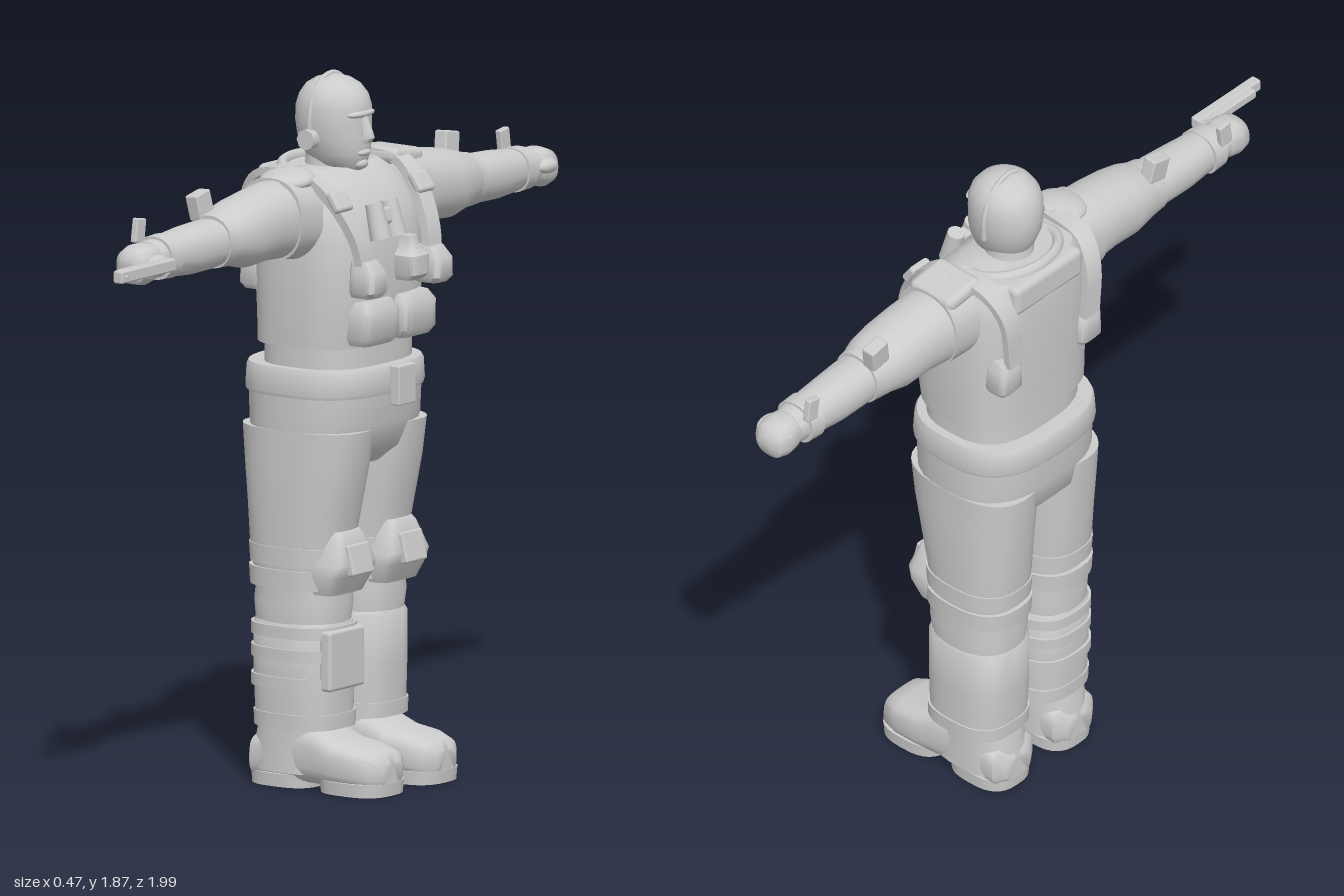
import * as THREE from 'three';
import { toCreasedNormals } from 'three/addons/utils/BufferGeometryUtils.js';
import { RoundedBoxGeometry } from 'three/addons/geometries/RoundedBoxGeometry.js';

export function createModel() {
  const grey = new THREE.MeshStandardMaterial({ color: 0xcccccc });
  grey.name = 'light grey';
  const model = new THREE.Group();
  model.name = 'soldier';
  // The figure looks along +x with its arms along z; it is mirrored about the body's own z = 0
  const body = new THREE.Group();
  body.name = 'body';
  body.position.z = -0.083;
  model.add(body);

  const add = (name, geo) => {
    const mesh = new THREE.Mesh(geo, grey);
    mesh.name = name;
    body.add(mesh);
    return mesh;
  };

  // Closed skin over a list of rings with equal point counts
  function skin(name, rings, crease = 0.75) {
    const n = rings[0].length, pos = [], idx = [];
    rings.forEach(r => r.forEach(p => pos.push(...p)));
    for (let j = 0; j < rings.length - 1; j++) {
      for (let i = 0; i < n; i++) {
        const a = j * n + i, b = j * n + (i + 1) % n;
        idx.push(a, b, b + n, a, b + n, a + n);
      }
    }
    const top = (rings.length - 1) * n;
    for (let i = 1; i < n - 1; i++) idx.push(0, i + 1, i, top, top + i, top + i + 1);
    const geo = new THREE.BufferGeometry();
    geo.setAttribute('position', new THREE.Float32BufferAttribute(pos, 3));
    geo.setIndex(idx);
    return add(name, toCreasedNormals(geo, crease));
  }

  // Superellipse loft. Sections: y [y,z0,z1,x0,x1], x [x,y0,y1,z0,z1], z [z,x0,x1,y0,y1]
  function loft(name, axis, sections, power = 2.5, side = 1) {
    let s = sections;
    if (side < 0) {
      s = s.map(([t, a, b, c, d]) => axis === 'z' ? [-t, a, b, c, d]
        : axis === 'y' ? [t, -b, -a, c, d] : [t, a, b, -d, -c]);
    }
    s = [...s].sort((p, q) => p[0] - q[0]);
    const bend = v => Math.sign(v) * Math.abs(v) ** (2 / power);
    return skin(name, s.map(([t, a0, a1, b0, b1]) => Array.from({ length: 32 }, (_, i) => {
      const ang = i / 32 * Math.PI * 2;
      const a = (a0 + a1) / 2 + (a1 - a0) / 2 * bend(Math.cos(ang));
      const b = (b0 + b1) / 2 + (b1 - b0) / 2 * bend(Math.sin(ang));
      return axis === 'x' ? [t, a, b] : axis === 'y' ? [b, t, a] : [a, b, t];
    })));
  }

  // Flat webbing strap along a smooth path
  function strap(name, points, width, thick = 0.02) {
    const curve = new THREE.CatmullRomCurve3(points.map(p => new THREE.Vector3(...p)));
    const z = new THREE.Vector3(0, 0, 1);
    const rings = [];
    for (let i = 0; i <= 14; i++) {
      const p = curve.getPoint(i / 14), t = curve.getTangent(i / 14);
      const n = t.cross(z).normalize();
      rings.push([[1, 1], [-1, 1], [-1, -1], [1, -1]].map(([a, b]) =>
        p.clone().addScaledVector(z, a * width / 2).addScaledVector(n, b * thick / 2).toArray()));
    }
    return skin(name, rings);
  }

  function box(name, p, size, rot = [0, 0, 0], r = 0.01) {
    const mesh = add(name, new RoundedBoxGeometry(...size, 2, Math.min(r, Math.min(...size) * 0.45)));
    mesh.position.set(...p);
    mesh.rotation.set(...rot);
    return mesh;
  }
  function ball(name, p, radii, rot = [0, 0, 0]) {
    const mesh = add(name, new THREE.SphereGeometry(1, 20, 14));
    mesh.position.set(...p);
    mesh.scale.set(...radii);
    mesh.rotation.set(...rot);
    return mesh;
  }

  // Head, neck and face
  loft('head', 'y', [[1.61, -.03, .03, -.06, .035], [1.63, -.058, .058, -.11, .05], [1.66, -.074, .074, -.13, .057],
    [1.7, -.087, .087, -.145, .059], [1.74, -.092, .092, -.15, .055], [1.78, -.092, .092, -.148, .056],
    [1.81, -.085, .085, -.138, .046], [1.835, -.068, .068, -.12, .026], [1.85, -.046, .046, -.095, 0],
    [1.86, -.012, .012, -.062, -.03]], 2.05);
  loft('neck', 'y', [[1.54, -.08, .08, -.14, .03], [1.61, -.065, .065, -.125, .01], [1.68, -.06, .06, -.12, 0]], 2);
  loft('nose', 'y', [[1.69, -.018, .018, .04, .072], [1.703, -.019, .019, .04, .082], [1.72, -.014, .014, .04, .078],
    [1.76, -.009, .009, .04, .06]], 2);
  ball('brow', [.04, 1.765, 0], [.022, .012, .055]);
  ball('mouth', [.05, 1.663, 0], [.014, .01, .028]);
  ball('chin', [.038, 1.633, 0], [.02, .016, .026]);

  // Headset: band over the skull and ear cup
  const band = add('headsetBand', new THREE.TorusGeometry(.094, .006, 8, 32, Math.PI));
  band.position.set(-.055, 1.735, 0);
  band.rotation.y = Math.PI / 2;
  band.scale.set(1.02, 1.34, 1.3);
  for (const s of [1, -1]) box('headsetArm', [-.055, 1.72, s * .094], [.014, .05, .012]);
  const cup = add('earCup', new THREE.CylinderGeometry(.028, .028, .03, 8));
  cup.position.set(-.055, 1.7, .098);
  cup.rotation.x = Math.PI / 2;

  // Torso: vest, waist, belt and hips
  loft('vest', 'y', [[1.17, -.215, .215, -.2, .13], [1.25, -.22, .22, -.2, .14], [1.35, -.223, .223, -.205, .145],
    [1.45, -.223, .223, -.205, .14], [1.53, -.218, .218, -.205, .12], [1.59, -.2, .2, -.2, .07],
    [1.625, -.16, .16, -.185, .025]], 3);
  const collar = add('collar', new THREE.TorusGeometry(1, .13, 10, 36));
  collar.position.set(-.07, 1.61, 0);
  collar.rotation.set(Math.PI / 2, -.16, 0);
  collar.scale.set(.105, .135, .15);
  box('backYoke', [-.165, 1.58, 0], [.08, .09, .26], [0, 0, 0], .02);
  loft('waist', 'y', [[1.09, -.2, .2, -.19, .125], [1.18, -.2, .2, -.19, .125]], 2.8);
  loft('belt', 'y', [[1.04, -.232, .232, -.237, .153], [1.05, -.235, .235, -.24, .156],
    [1.105, -.228, .228, -.24, .156], [1.115, -.224, .224, -.235, .15]], 2.8);
  loft('hips', 'y', [[.85, -.16, .16, -.18, .08], [.89, -.225, .225, -.215, .12], [.96, -.232, .232, -.227, .142],
    [1.05, -.232, .232, -.232, .148]], 2.7);
  box('buckle', [.178, 1.065, 0], [.03, .105, .075], [0, 0, 0], .004);

  // Chest gear
  for (const s of [1, -1]) {
    loft('bellyPouch', 'y', [[1.18, .02, .145, .09, .165], [1.2, .006, .155, .09, .18], [1.27, .006, .155, .09, .182],
      [1.295, .02, .14, .09, .165]], 5, s);
    strap('chestStrap', [[-.06, 1.63, s * .19], [.03, 1.615, s * .19], [.1, 1.55, s * .175], [.15, 1.46, s * .155],
      [.165, 1.38, s * .145]], .055, .024);
    box('strapBuckle', [.105, 1.565, s * .178], [.025, .06, .068], [0, 0, .6]);
    loft('strapPouch', 'y', [[1.315, .11, .175, .13, .2], [1.33, .1, .185, .13, .213], [1.38, .103, .182, .13, .213],
      [1.41, .115, .17, .13, .19]], 4, s);
    strap('backStrap', [[-.04, 1.632, s * .18], [-.15, 1.615, s * .175], [-.2, 1.55, s * .16], [-.21, 1.4, s * .145]], .055);
    loft('backPouch', 'y', [[1.305, .12, .185, -.205, -.14], [1.32, .11, .195, -.216, -.14],
      [1.385, .113, .192, -.216, -.14], [1.41, .125, .18, -.205, -.14]], 4, s);
  }
  loft('chestPouch', 'y', [[1.335, -.085, -.015, .12, .19], [1.35, -.092, -.008, .12, .205],
    [1.4, -.092, -.008, .12, .205], [1.42, -.07, -.03, .12, .185], [1.45, -.066, -.034, .12, .18]], 4);
  for (const w of [.088, .022]) {
    const tube = add('binocularTube', new THREE.CylinderGeometry(.023, .028, .095, 14));
    tube.position.set(.16, 1.505, w);
    tube.rotation.z = .25;
  }
  box('binocularBridge', [.155, 1.515, .055], [.035, .045, .05], [0, 0, .25]);

  // Arms, built along z
  for (const s of [1, -1]) {
    loft('upperArm', 'z', [[.15, -.13, .06, 1.4, 1.6], [.2, -.135, .065, 1.4, 1.622], [.28, -.135, .06, 1.415, 1.62],
      [.36, -.128, .06, 1.42, 1.612], [.44, -.125, .06, 1.415, 1.6], [.5, -.118, .053, 1.43, 1.585],
      [.54, -.105, .04, 1.437, 1.57]], 2.2, s);
    loft('shoulderSleeve', 'z', [[.2, -.14, .068, 1.41, 1.63], [.29, -.138, .065, 1.412, 1.628]], 2.4, s);
    loft('forearm', 'z', [[.52, -.1, .035, 1.44, 1.56], [.59, -.1, .033, 1.432, 1.562], [.67, -.098, .028, 1.43, 1.558],
      [.75, -.092, .023, 1.437, 1.55], [.83, -.085, .015, 1.447, 1.54]], 2.2, s);
    loft('elbowBand', 'z', [[.5, -.115, .045, 1.428, 1.58], [.56, -.106, .038, 1.43, 1.57]], 2.2, s);
    loft('cuff', 'z', [[.755, -.1, .028, 1.434, 1.552], [.8, -.098, .026, 1.436, 1.55]], 2.3, s);
    loft('hand', 'z', [[.8, -.07, .005, 1.455, 1.53], [.835, -.085, .015, 1.44, 1.54], [.87, -.088, .018, 1.433, 1.54],
      [.9, -.082, .012, 1.44, 1.53], [.916, -.06, -.01, 1.465, 1.51]], 2.5, s);
    ball('thumb', [.012, 1.495, s * .85], [.022, .02, .04]);
    box('elbowFlap', [-.08, 1.59, s * .538], [.04, .07, .062], [s * .2, 0, .1], .006);
    box('wristFlap', [-.088, 1.56, s * .795], [.02, .065, .04], [-s * .15, 0, 0], .005);
  }
  ball('rightShoulderPad', [-.03, 1.615, .225], [.075, .03, .075], [.12, 0, 0]);
  box('leftShoulderPad', [-.04, 1.617, -.225], [.15, .045, .13], [-.12, 0, 0], .02);

  // Pistol held flat in the right hand
  box('pistolSlide', [.053, 1.493, .957], [.03, .034, .24], [0, 0, 0], .006);
  box('pistolFrame', [.032, 1.493, .94], [.022, .026, .2], [0, 0, 0], .005);
  box('pistolGrip', [.005, 1.493, .868], [.08, .028, .045], [0, .25, 0], .008);
  box('pistolSight', [.07, 1.493, 1.06], [.008, .008, .012], [0, 0, 0], .002);

  // Legs and boots
  for (const s of [1, -1]) {
    loft('trouserLeg', 'y', [[.17, .02, .212, -.17, .055], [.42, .014, .218, -.18, .062], [.49, .008, .223, -.186, .072],
      [.53, .013, .218, -.182, .066], [.57, .01, .223, -.188, .07], [.65, .007, .226, -.2, .08],
      [.75, .003, .23, -.207, .102], [.85, 0, .232, -.217, .125], [.95, 0, .232, -.226, .14]], 2.5, s);
    loft('shinGuard', 'y', [[.165, .008, .222, -.178, .066], [.3, .004, .225, -.184, .07], [.43, .006, .224, -.186, .07],
      [.44, .012, .218, -.18, .064]], 2.7, s);
    loft('ankleBand', 'y', [[.16, .002, .226, -.18, .07], [.2, .002, .227, -.182, .071]], 2.8, s);
    for (const y of [.53, .59]) {
      loft('kneeStrap', 'y', [[y, .005, .228, -.198, .082], [y + .05, .004, .229, -.202, .085]], 2.5, s);
    }
    // Knee pad with raised plate
    loft('kneePad', 'y', [[.52, .04, .195, .0, .09], [.57, .022, .21, 0, .115], [.6, .028, .204, .01, .128],
      [.675, .058, .172, .04, .102], [.685, .065, .165, .045, .095]], 4.5, s);
    box('kneePlate', [.118, .612, s * .116], [.025, .082, .092], [0, 0, .25], .006);
    // Boot
    loft('bootShaft', 'y', [[.04, .026, .206, -.195, .06], [.1, .028, .204, -.192, .05], [.2, .034, .2, -.172, .045]], 2.5, s);
    loft('bootFoot', 'x', [[-.198, .03, .09, .07, .165], [-.175, .012, .13, .038, .195], [-.06, .012, .17, .03, .2],
      [.03, .012, .165, .026, .206], [.09, .012, .138, .023, .21], [.16, .012, .128, .025, .208],
      [.21, .012, .112, .042, .19], [.232, .03, .085, .075, .16]], 3.2, s);
    loft('bootHeel', 'y', [[0, .035, .198, -.196, 0], [.035, .033, .2, -.199, .004]], 2.8, s);
    loft('bootSole', 'y', [[0, .026, .207, .03, .232], [.035, .023, .21, .025, .235]], 2.8, s);
  }

  // Straps and plate on the right shin
  for (const y of [.265, .34, .4]) {
    loft('shinStrap', 'y', [[y, -.001, .23, -.19, .075], [y + .032, -.001, .23, -.191, .075]], 2.7);
  }
  box('shinPlate', [.067, .345, .115], [.036, .16, .155], [0, 0, 0], .01);

  return model;
}
